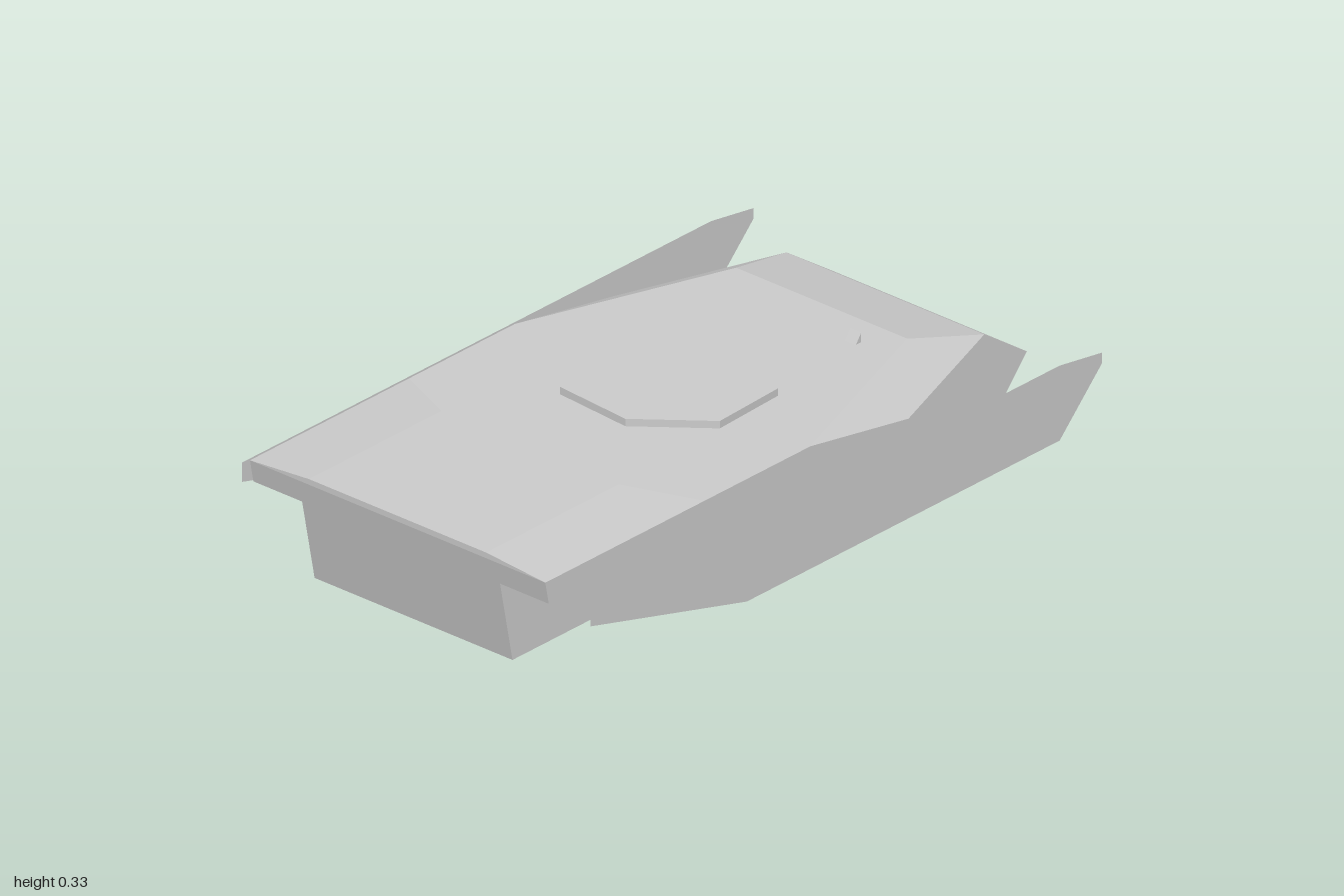
import * as THREE from 'three';

const grey = new THREE.MeshStandardMaterial({ color: 0xcccccc, flatShading: true });
const thin = new THREE.MeshStandardMaterial({ color: 0xcccccc, flatShading: true, side: THREE.DoubleSide });

function part(name, geometry, material = grey) {
  const mesh = new THREE.Mesh(geometry, material);
  mesh.name = name;
  return mesh;
}

// Half outline on the +z side, listed rear to front, closed with its mirror image
function mirrored(half, y) {
  const left = half.map(([x, z]) => new THREE.Vector3(x, y, z));
  const right = half.map(([x, z]) => new THREE.Vector3(x, y, -z)).reverse();
  return [...left, ...right];
}

// Solid between a lower and an upper ring of matching points
function loft(lower, upper) {
  const corners = [];
  const triangle = (a, b, c) => {
    if (new THREE.Triangle(a, b, c).getArea() > 1e-7) corners.push(a, b, c);
  };
  const n = lower.length;
  for (let i = 0; i < n; i++) {
    const j = (i + 1) % n;
    triangle(lower[i], lower[j], upper[j]);
    triangle(lower[i], upper[j], upper[i]);
    if (i > 0 && i < n - 1) {
      triangle(upper[0], upper[i], upper[i + 1]);
      triangle(lower[0], lower[i + 1], lower[i]);
    }
  }
  const geometry = new THREE.BufferGeometry().setFromPoints(corners);
  geometry.computeVertexNormals();
  return geometry;
}

const outline = (points) => new THREE.Shape(points.map(([x, y]) => new THREE.Vector2(x, y)));

// Side profile given a width across z
function sideProfile(points, width, z = 0) {
  return new THREE.ExtrudeGeometry(outline(points), { depth: width, bevelEnabled: false })
    .translate(0, 0, z - width / 2);
}

export function createModel() {
  const model = new THREE.Group();
  model.name = 'vehicleHull';

  // Narrow lower hull with a wedge nose
  model.add(part('lowerHull', sideProfile(
    [[-0.94, 0], [0.89, 0], [1, 0.125], [0.84, 0.235], [-0.987, 0.235]], 0.67)));

  // Wide upper hull with sloped front and cut-off front corners
  model.add(part('upperHull', loft(
    mirrored([[-0.987, 0.5], [0.37, 0.5], [0.84, 0.335]], 0.235),
    mirrored([[-1, 0.5], [0, 0.5], [0.6, 0.29]], 0.3))));

  // Raised engine deck, sloping down to both sides
  model.add(part('engineDeck', loft(
    mirrored([[-1, 0.5], [-0.4, 0.5], [-0.5, 0.3]], 0.3),
    mirrored([[-1, 0.3], [-0.5, 0.3], [-0.5, 0.3]], 0.316))));

  // Seven-sided turret base
  const base = [[-0.01, -0.28], [-0.21, -0.16], [-0.23, 0.08], [-0.08, 0.265],
    [0.15, 0.255], [0.32, 0.08], [0.23, -0.225]];
  const ring = (y) => base.map(([x, z]) => new THREE.Vector3(x, y, z));
  model.add(part('turretBase', loft(ring(0.3), ring(0.321))));

  // Small wedge-shaped periscope for the driver
  model.add(part('periscope', sideProfile([[0.488, 0.3], [0.508, 0.3], [0.508, 0.327]], 0.036, 0.198)));

  // Thin side skirts standing clear of the hull
  const skirt = new THREE.ShapeGeometry(outline(
    [[-0.93, 0.235], [-0.93, 0.18], [-0.34, 0.022], [0.84, 0.022], [1, 0.18], [1, 0.21], [0.84, 0.235]]));
  for (const side of [1, -1]) {
    const mesh = part(side > 0 ? 'leftSkirt' : 'rightSkirt', skirt, thin);
    mesh.position.z = 0.59 * side;
    model.add(mesh);
  }
  return model;
}
